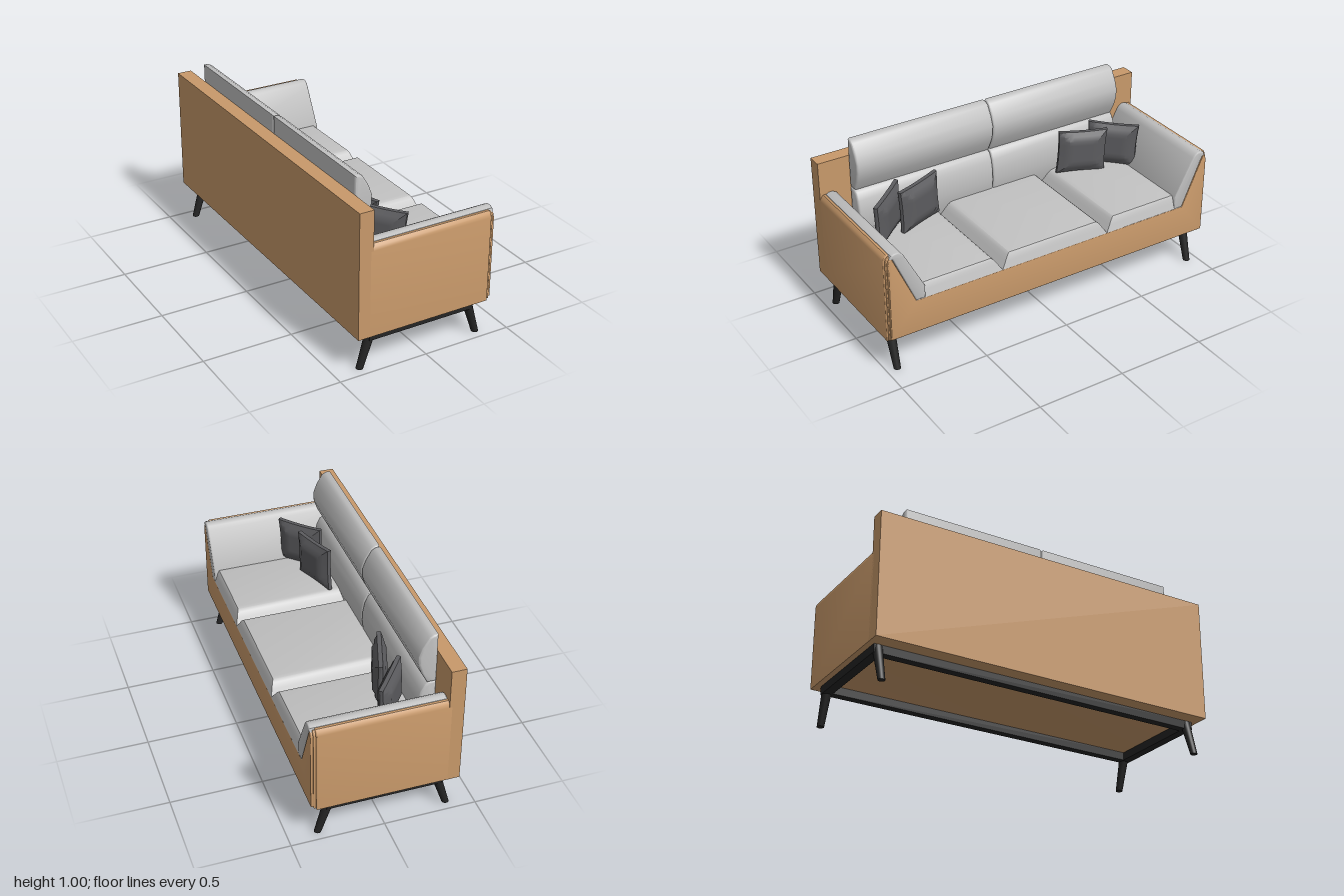
import * as THREE from 'three';
import { toCreasedNormals } from 'three/addons/utils/BufferGeometryUtils.js';

const material = (name, color) => {
  const m = new THREE.MeshStandardMaterial({ color });
  m.name = name;
  return m;
};

export function createModel() {
  const sofa = new THREE.Group();
  sofa.name = 'sofa';
  const wood = material('tan shell', 0xc8996a);
  const grey = material('grey upholstery', 0xc0c0c0);
  const dark = material('dark pillow', 0x5c5c5f);
  const black = material('black base', 0x242424);

  const add = (name, geometry, mat, x = 0, y = 0, z = 0) => {
    const mesh = new THREE.Mesh(geometry, mat);
    mesh.name = name;
    mesh.position.set(x, y, z);
    sofa.add(mesh);
    return mesh;
  };
  const box = (name, mat, x0, x1, y0, y1, z0, z1) =>
    add(name, new THREE.BoxGeometry(x1 - x0, y1 - y0, z1 - z0), mat, (x0 + x1) / 2, (y0 + y1) / 2, (z0 + z1) / 2);

  // Extrudes an outline by a length, keeping the rounded edges inside it
  const extrude = (points, length, bevel) => {
    const shape = new THREE.Shape(points.map(([a, b]) => new THREE.Vector2(a, b)));
    const g = new THREE.ExtrudeGeometry(shape, {
      depth: length - 2 * bevel, bevelEnabled: bevel > 0, bevelThickness: bevel,
      bevelSize: bevel, bevelOffset: -bevel, bevelSegments: 3,
    });
    g.translate(0, 0, bevel);
    return toCreasedNormals(g, 0.65);
  };
  // Outline given as (z, y), extruded along x
  const alongX = (points, x0, x1, bevel) =>
    extrude(points.map(([z, y]) => [-z, y]), x1 - x0, bevel).rotateY(Math.PI / 2).translate(x0, 0, 0);

  // Backrest panel
  box('backPanel', wood, -0.4, -0.32, 0.205, 0.9, -1, 1);

  // Shell with sloping arms, stepping in towards the front edge
  const shell = (inset) => {
    const half = [
      [1 - inset, 0.205 + inset], [1 - inset, 0.68 - inset], [0.995 - inset, 0.7 - inset],
      [0.982 - inset, 0.712 - inset], [0.965, 0.712 - inset], [0.838, 0.41],
    ];
    return [...half, ...half.map(([z, y]) => [-z, y]).reverse()];
  };
  add('shell', alongX(shell(0), -0.34, 0.365, 0.006), wood);
  add('shellTrim', alongX(shell(0.007), 0.34, 0.377, 0.004), wood);
  add('frontPanel', alongX(shell(0.014), 0.34, 0.39, 0.004), wood);

  for (const s of [1, -1]) {
    // Padding draped over the sloping arm
    const pad = [
      [0.975, 0.695], [0.968, 0.714], [0.95, 0.723], [0.928, 0.723], [0.91, 0.713],
      [0.897, 0.695], [0.785, 0.48], [0.785, 0.41], [0.838, 0.41], [0.96, 0.69],
    ];
    add('armCushion', alongX(pad.map(([z, y]) => [z * s, y]), -0.32, 0.391, 0.008), grey);

    // Back cushions: a lower lumbar roll and a taller headrest roll
    const lower = [
      [-0.32, 0.42], [-0.25, 0.42], [-0.233, 0.48], [-0.226, 0.54], [-0.228, 0.6],
      [-0.24, 0.66], [-0.26, 0.7], [-0.28, 0.715], [-0.32, 0.715],
    ];
    const upper = [
      [-0.32, 0.715], [-0.272, 0.715], [-0.24, 0.775], [-0.223, 0.83], [-0.222, 0.88],
      [-0.24, 0.93], [-0.273, 0.987], [-0.295, 1], [-0.32, 1],
    ];
    const z0 = s > 0 ? 0 : -0.825;
    add('lowerBackCushion', extrude(lower, 0.825, 0.012).translate(0, 0, z0), grey);
    add('upperBackCushion', extrude(upper, 0.825, 0.012).translate(0, 0, z0), grey);
  }

  // Seat cushions, tapering in at the sides and the front edge
  const layers = [[0.41, 0], [0.445, 0.45], [0.472, 0.8], [0.485, 1.1], [0.489, 1.5]];
  const seat = (z0, z1) => {
    const g = new THREE.BoxGeometry(0.71, 4, z1 - z0, 1, 4, 1);
    const p = g.attributes.position;
    for (let i = 0; i < p.count; i++) {
      const [y, inset] = layers[Math.round(p.getY(i) + 2)];
      const x = p.getX(i), z = p.getZ(i);
      p.setXYZ(i, x > 0 ? x - 0.025 * inset : x, y, z - Math.sign(z) * 0.05 * inset);
    }
    add('seatCushion', toCreasedNormals(g, 0.6), grey, 0.035, 0, (z0 + z1) / 2);
  };
  seat(-0.33, 0.33);
  seat(0.33, 0.84);
  seat(-0.84, -0.33);

  // Scatter pillows: flat in the middle, thinning towards the seams
  const pillowGeometry = () => {
    const g = new THREE.BoxGeometry(0.28, 0.25, 0.075, 10, 10, 2);
    const p = g.attributes.position;
    for (let i = 0; i < p.count; i++) {
      const u = p.getX(i) / 0.14, v = p.getY(i) / 0.125;
      const edge = Math.max(Math.abs(u), Math.abs(v));
      const bulge = 1 - Math.abs(p.getZ(i)) / 0.0375;
      const fat = Math.min(1, 0.3 + (1 - edge) * 1.75);
      p.setXYZ(i, u * (0.134 + 0.006 * v * v + 0.003 * bulge), v * (0.121 + 0.006 * u * u), p.getZ(i) * fat);
    }
    return toCreasedNormals(g, 0.5);
  };
  for (const s of [1, -1]) {
    const outer = add('outerPillow', pillowGeometry(), dark, -0.115, 0.615, 0.72 * s);
    outer.rotation.set(0, -s * Math.atan2(0.21, 0.17), -0.06);
    const inner = add('innerPillow', pillowGeometry(), dark, -0.133, 0.617, 0.522 * s);
    inner.rotation.set(0, -s * Math.atan2(0.26, 0.085), -0.05);
  }

  // Base rails
  for (const s of [1, -1]) {
    box('longRail', black, -0.008 + s * 0.285 - 0.023, -0.008 + s * 0.285 + 0.023, 0.16, 0.206, -0.968, 0.968);
    box('endRail', black, -0.3, 0.284, 0.16, 0.206, s * 0.943 - 0.025, s * 0.943 + 0.025);
  }

  // Tapered legs splayed to front and back
  for (const sx of [1, -1]) for (const sz of [1, -1]) {
    const g = new THREE.CylinderGeometry(0.027, 0.019, 0.204, 20);
    g.translate(0, 0.102, 0);
    const p = g.attributes.position;
    for (let i = 0; i < p.count; i++) p.setX(i, p.getX(i) + sx * (0.348 - 0.31 * p.getY(i)));
    g.computeVertexNormals();
    add('leg', g, black, -0.008, 0, 0.94 * sz);
  }

  return sofa;
}
